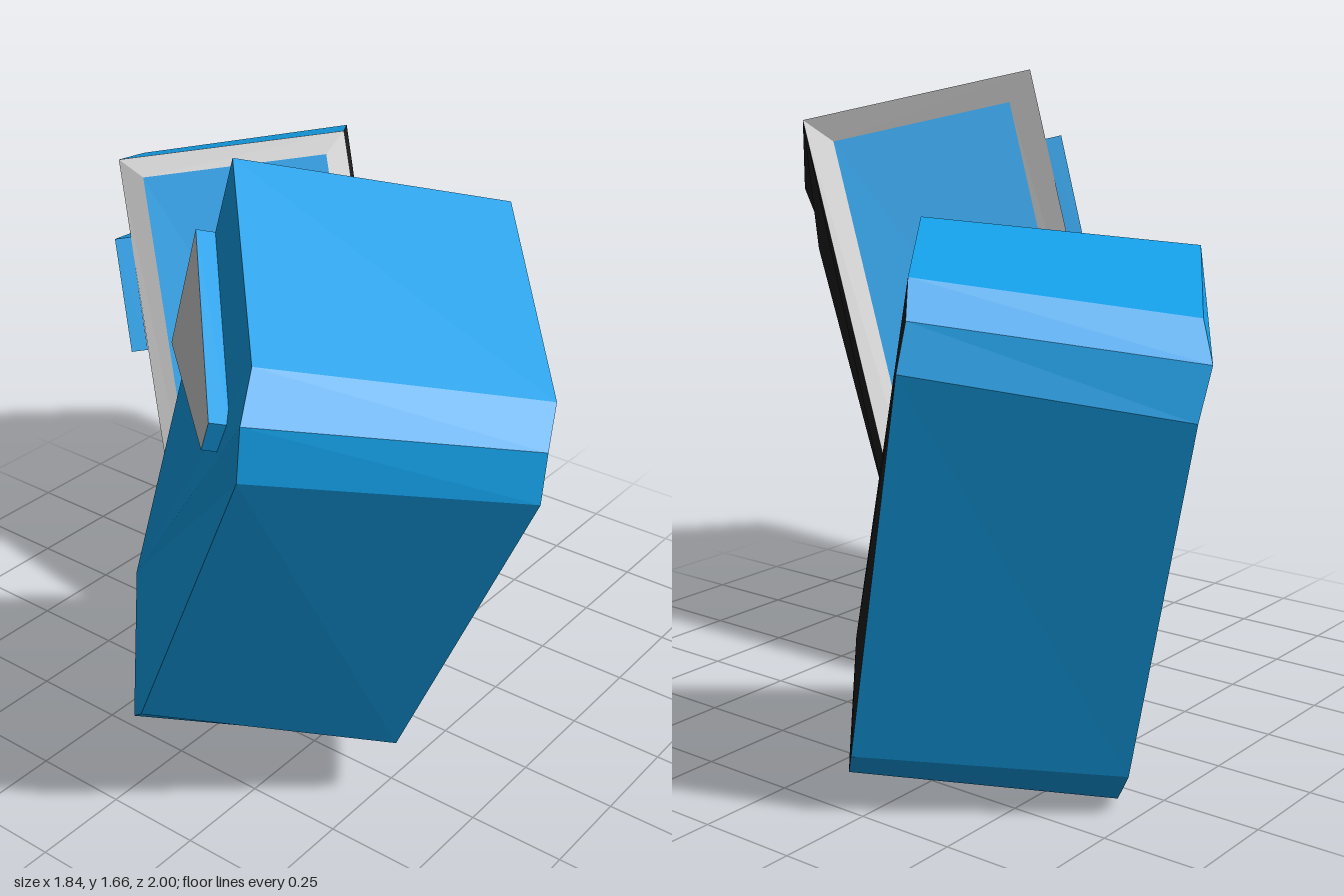
import * as THREE from 'three';

const V = (x, y, z) => new THREE.Vector3(x, y, z);
const mat = (color) => new THREE.MeshStandardMaterial({ color, flatShading: true });
const blue = mat(0x139ee6), black = mat(0x1e1e1e), grey = mat(0xcccccc);

// Flat mesh from convex polygons, each a counter-clockwise loop of points
function polyMesh(name, material, polygons, flip) {
  const pos = [];
  for (const polygon of polygons) {
    const p = flip ? [...polygon].reverse() : polygon;
    for (let i = 1; i < p.length - 1; i++) {
      for (const v of [p[0], p[i], p[i + 1]]) pos.push(v.x, v.y, v.z);
    }
  }
  const geometry = new THREE.BufferGeometry();
  geometry.setAttribute('position', new THREE.Float32BufferAttribute(pos, 3));
  geometry.computeVertexNormals();
  const mesh = new THREE.Mesh(geometry, material);
  mesh.name = name;
  return mesh;
}

// Quads joining two loops of equal length
const bridge = (a, b, count = a.length) => Array.from({ length: count }, (_, i) => {
  const j = (i + 1) % a.length;
  return [a[j], a[i], b[i], b[j]];
});

// One half of the case: lofted between its near and far chamfered profiles.
// The mating face lies on the edge between the last and the first profile point.
function caseHalf({ name, near, far, flip, inset, rise, tab }) {
  const group = new THREE.Group();
  group.name = name;
  near = near.map((p) => V(...p));
  far = far.map((p) => V(...p));

  group.add(polyMesh('nearSide', black, [near], flip));
  group.add(polyMesh('shell', blue, [[...far].reverse(), ...bridge(near, far, near.length - 1)], flip));

  // Mating face: bevelled border around a raised or sunken panel
  const rim = [near[0], near[7], far[7], far[0]];
  const normal = rim[2].clone().sub(rim[0]).cross(rim[3].clone().sub(rim[1])).normalize();
  if (flip) normal.negate();
  const panel = rim.map((c, i) => {
    const p = c.clone().addScaledVector(normal, rise);
    for (const k of [1, 3]) {
      p.addScaledVector(rim[(i + k) % 4].clone().sub(c).normalize(), inset);
    }
    return p;
  });
  group.add(polyMesh('matingBorder', grey, bridge(panel, rim), flip));
  group.add(polyMesh('matingPanel', blue, [panel], flip));

  // Tapered finger tab on the far side
  const across = far[1].clone().sub(far[0]), down = far[7].clone().sub(far[0]);
  const out = far[0].clone().sub(near[0]).normalize();
  const base = tab.map(([a, b]) => far[0].clone().addScaledVector(across, a).addScaledVector(down, b));
  const top = base.map((p) => p.clone().addScaledVector(out, 0.045));
  group.add(polyMesh('tabSides', blue, bridge(top, base), flip));
  group.add(polyMesh('tabFace', grey, [top], flip));
  return group;
}

export function createModel() {
  const model = new THREE.Group();
  model.name = 'twoPartCase';

  // Deeper half with the sunken panel
  model.add(caseHalf({
    name: 'rightHalf', flip: false, inset: 0.07, rise: -0.035,
    near: [[0.007, 1.528, 0.604], [-0.383, 1.292, 0.973], [-0.452, 1.212, 1], [-0.469, 1.097, 1],
      [-0.348, 0.212, 0.578], [-0.304, 0.168, 0.513], [-0.195, 0.163, 0.428], [0.037, 0.258, 0.184]],
    far: [[-0.447, 1.662, 0.168], [-0.842, 1.419, 0.543], [-0.916, 1.325, 0.572], [-0.925, 1.2, 0.568],
      [-0.812, 0.383, 0.164], [-0.76, 0.313, 0.09], [-0.655, 0.3, 0.03], [-0.423, 0.44, -0.206]],
    tab: [[0.02, 0.398], [0.905, 0.224], [0.915, 0.161], [0, 0.154]],
  }));

  // Shallower half with the raised panel
  model.add(caseHalf({
    name: 'leftHalf', flip: true, inset: 0.06, rise: 0.02,
    near: [[0.561, 1.37, -0.278], [0.827, 1.281, -0.465], [0.886, 1.202, -0.508], [0.918, 1.097, -0.508],
      [0.788, 0.163, -0.251], [0.738, 0.094, -0.198], [0.635, 0.079, -0.107], [0.269, 0.204, 0.198]],
    far: [[0.14, 1.301, -0.745], [0.45, 1.195, -0.941], [0.498, 1.11, -0.995], [0.532, 0.992, -0.984],
      [0.403, 0.115, -0.749], [0.356, 0.029, -0.69], [0.262, 0.003, -0.604], [-0.172, 0.158, -0.254]],
    tab: [[-0.018, 0.417], [1.05, 0.253], [1.01, 0.176], [0.005, 0.17]],
  }));
  return model;
}
